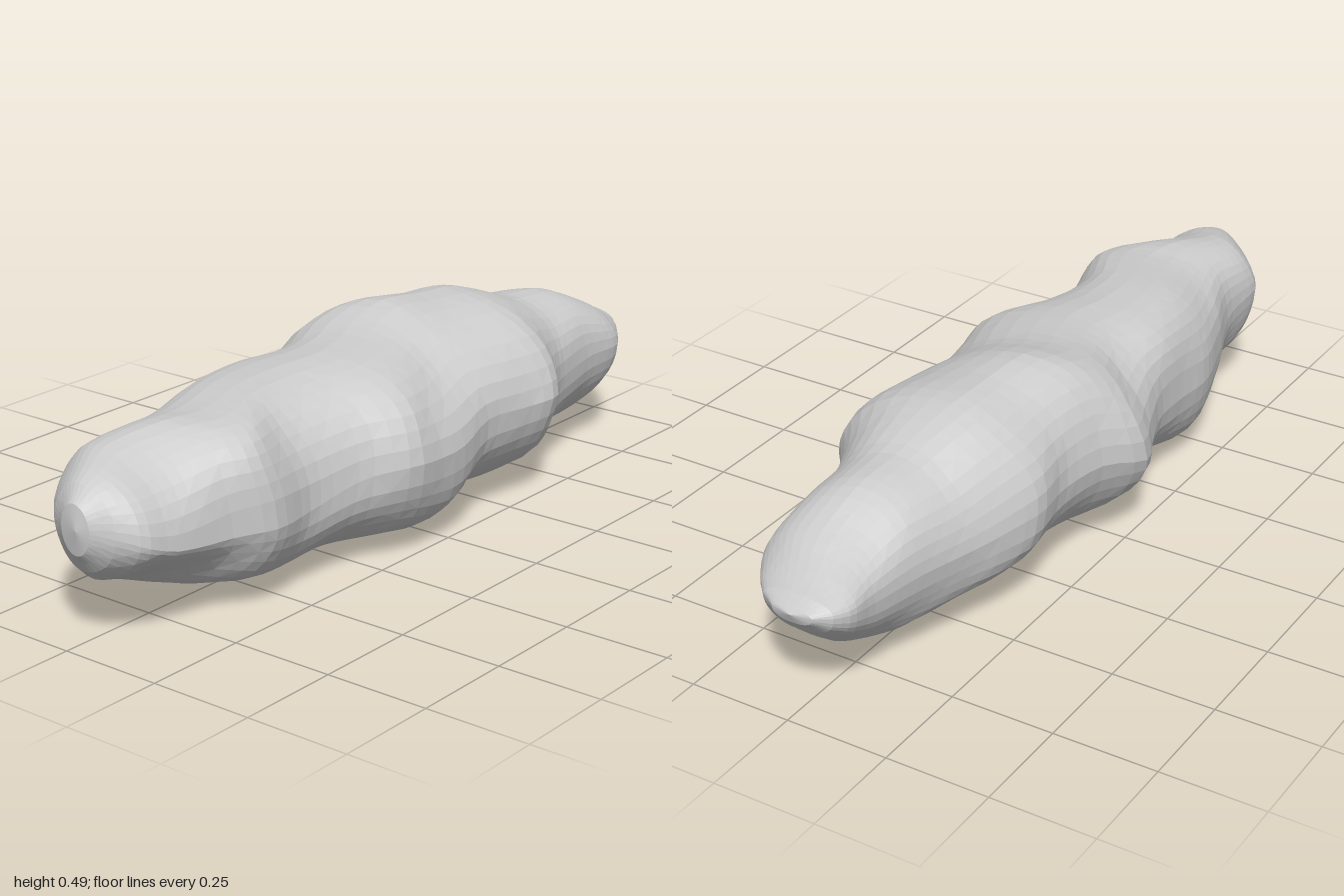
import * as THREE from 'three';

// Outline along the length: z, left x, right x, bottom y, top y
const OUTLINE = [
  [-0.99, -0.07, 0.03, 0.25, 0.285],
  [-0.96, -0.1, 0.075, 0.215, 0.298],
  [-0.91, -0.12, 0.12, 0.17, 0.315],
  [-0.82, -0.12, 0.175, 0.10, 0.355],
  [-0.69, -0.145, 0.175, 0.06, 0.41],
  [-0.55, -0.19, 0.2, 0.065, 0.425],
  [-0.45, -0.225, 0.245, 0.055, 0.46],
  [-0.37, -0.245, 0.3, 0.045, 0.48],
  [-0.25, -0.235, 0.285, 0.035, 0.487],
  [-0.12, -0.26, 0.27, 0.032, 0.495],
  [0, -0.305, 0.295, 0.015, 0.465],
  [0.08, -0.27, 0.3, 0.02, 0.455],
  [0.18, -0.235, 0.302, 0.04, 0.45],
  [0.3, -0.23, 0.24, 0.03, 0.445],
  [0.45, -0.23, 0.21, 0.001, 0.44],
  [0.6, -0.19, 0.235, 0.04, 0.43],
  [0.7, -0.155, 0.195, 0.06, 0.43],
  [0.83, -0.16, 0.17, 0.1, 0.405],
  [0.91, -0.11, 0.155, 0.135, 0.385],
  [0.96, -0.06, 0.11, 0.175, 0.365],
  [0.99, -0.01, 0.07, 0.22, 0.335],
];

// Section shape along the length: z, then where the top, bottom, left and right
// extremes sit (0..1), then the bluntness of each quarter
// (upper right, upper left, lower left, lower right; below 1 is boxy, above 1 flat)
const SHAPE = [
  [-0.99, 0.5, 0.5, 0.65, 0.65, 0.9, 0.9, 0.85, 0.85],
  [-0.8, 0.5, 0.5, 0.55, 0.6, 0.85, 0.9, 0.85, 0.95],
  [-0.55, 0.52, 0.5, 0.5, 0.5, 0.9, 1, 0.85, 0.9],
  [-0.35, 0.4, 0.5, 0.5, 0.5, 1, 0.95, 0.85, 0.9],
  [-0.1, 0.4, 0.55, 0.5, 0.5, 1.05, 0.9, 0.95, 0.85],
  [0.05, 0.45, 0.6, 0.47, 0.5, 0.95, 0.85, 1.1, 0.8],
  [0.25, 0.45, 0.58, 0.47, 0.5, 0.9, 0.65, 0.8, 0.8],
  [0.45, 0.5, 0.48, 0.5, 0.45, 0.8, 0.75, 0.9, 0.95],
  [0.62, 0.5, 0.45, 0.5, 0.42, 0.7, 0.75, 1, 1],
  [0.83, 0.4, 0.35, 0.6, 0.38, 0.95, 0.95, 1, 1.4],
  [0.99, 0.45, 0.5, 0.5, 0.5, 1, 1, 1, 1],
];
const RINGS = 64, SIDES = 36;

// Row of a table interpolated smoothly at z
function rowAt(table, z) {
  const n = table.length - 1;
  let i = 0;
  while (i < n - 1 && z > table[i + 1][0]) i++;
  const u = (z - table[i][0]) / (table[i + 1][0] - table[i][0]);
  const row = (k) => table[Math.max(0, Math.min(n, k))];
  return row(i).map((b, col) => {
    const a = row(i - 1)[col], c = row(i + 1)[col], d = row(i + 2)[col];
    return b + 0.5 * u * (c - a + u * (2 * a - 5 * b + 4 * c - d + u * (3 * (b - c) + d - a)));
  });
}

function bodyGeometry() {
  const pos = [], index = [];
  const lerp = THREE.MathUtils.lerp;
  const z0 = OUTLINE[0][0], z1 = OUTLINE[OUTLINE.length - 1][0];
  for (let r = 0; r <= RINGS; r++) {
    // Rings crowd a little towards the tips
    const t = r / RINGS, z = lerp(z0, z1, lerp(t, (1 - Math.cos(Math.PI * t)) / 2, 0.5));
    const [, x0, x1, y0, y1] = rowAt(OUTLINE, z);
    const [, top, bottom, left, right, ...blunt] = rowAt(SHAPE, z);
    const end = Math.min(1, 5 * t, 5 * (1 - t));
    for (let s = 0; s < SIDES; s++) {
      const a = (s / SIDES) * Math.PI * 2, c = Math.cos(a), n = Math.sin(a);
      const e = blunt[Math.floor((4 * s) / SIDES)];
      // Shallow dents between the four extremes
      const dent = 1 - 0.025 * end * Math.abs(Math.sin(2 * a)) * (1 + Math.sin(3 * a + 13 * z));
      const cx = Math.abs(c) ** e * dent, cy = Math.abs(n) ** e * dent;
      const ox = lerp(x0, x1, n >= 0 ? top : bottom);
      const oy = lerp(y0, y1, c >= 0 ? right : left);
      pos.push(
        lerp(ox, c >= 0 ? x1 : x0, cx),
        lerp(oy, n >= 0 ? y1 : y0, cy),
        z + 0.01 * end * Math.sin(4 * a + 9 * z),
      );
    }
  }
  const id = (r, s) => r * SIDES + (s % SIDES);
  for (let r = 0; r < RINGS; r++) {
    for (let s = 0; s < SIDES; s++) {
      const a = id(r, s), b = id(r, s + 1), c = id(r + 1, s + 1), d = id(r + 1, s);
      if ((r + s) % 2) index.push(a, b, c, a, c, d);
      else index.push(a, b, d, b, c, d);
    }
  }
  // Blunt tips
  const back = pos.length / 3, front = back + 1;
  pos.push(-0.02, 0.275, -1, 0.04, 0.28, 1);
  for (let s = 0; s < SIDES; s++) {
    index.push(back, id(0, s + 1), id(0, s));
    index.push(front, id(RINGS, s), id(RINGS, s + 1));
  }
  const g = new THREE.BufferGeometry();
  g.setAttribute('position', new THREE.Float32BufferAttribute(pos, 3));
  g.setIndex(index);
  g.computeVertexNormals();
  return g;
}

export function createModel() {
  const group = new THREE.Group();
  group.name = 'rock';
  const body = new THREE.Mesh(
    bodyGeometry(),
    new THREE.MeshStandardMaterial({ color: 0xcccccc, flatShading: true }),
  );
  body.name = 'rockBody';
  group.add(body);
  return group;
}
